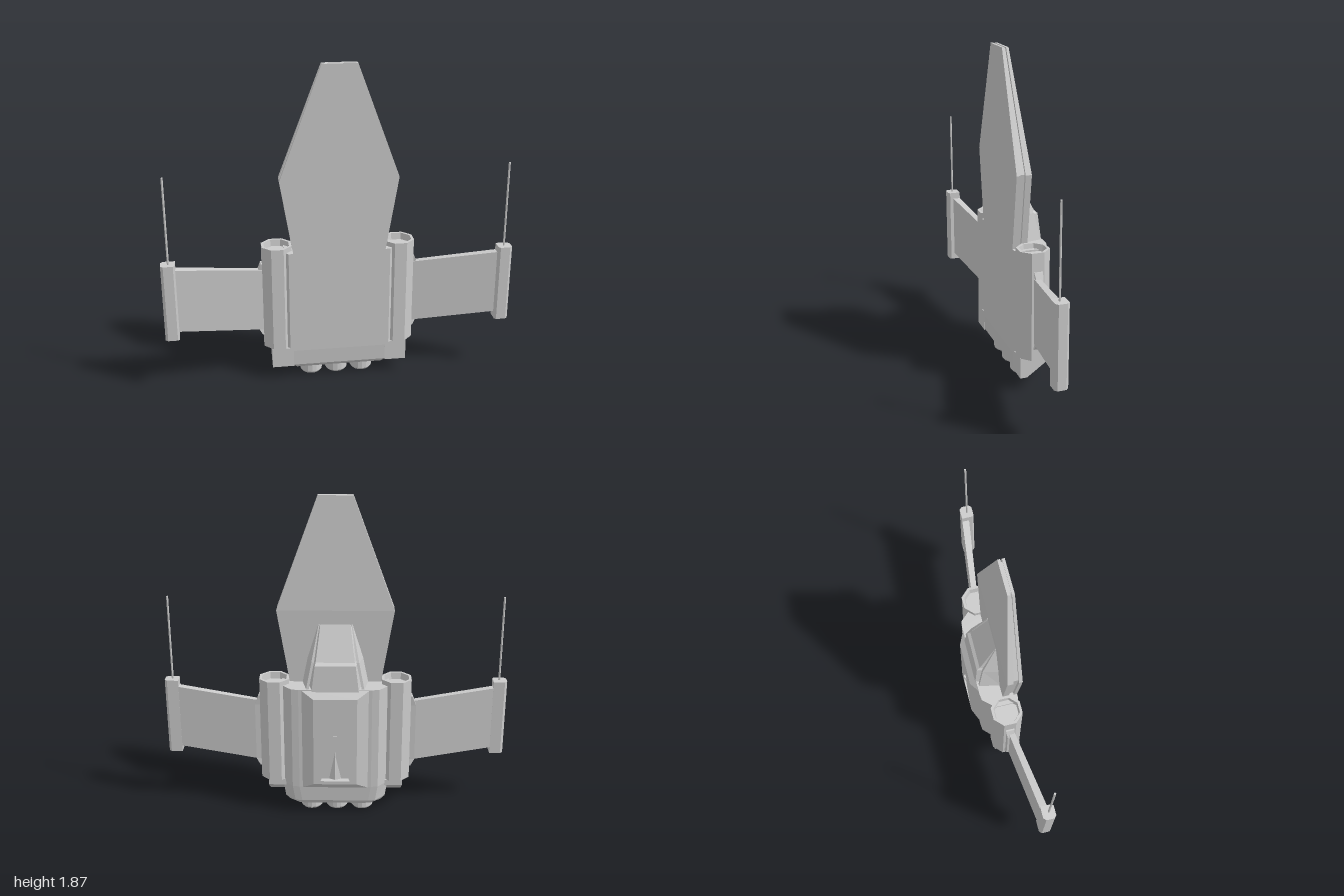
import * as THREE from 'three';

const mat = new THREE.MeshStandardMaterial({ color: 0xcccccc, flatShading: true, side: THREE.DoubleSide });

// Skin a list of equal-length rings of [x, y, z] points and cap both ends.
function loft(rings) {
  const n = rings[0].length, pos = rings.flat(2), idx = [];
  for (let r = 0; r < rings.length - 1; r++)
    for (let i = 0; i < n; i++) {
      const a = r * n + i, b = r * n + (i + 1) % n;
      idx.push(a, b, b + n, a, b + n, a + n);
    }
  const last = (rings.length - 1) * n;
  for (let i = 1; i < n - 1; i++) idx.push(0, i + 1, i, last, last + i, last + i + 1);
  // Turn the faces outward if the enclosed volume comes out negative
  const v = i => new THREE.Vector3().fromArray(pos, i * 3);
  let volume = 0;
  for (let i = 0; i < idx.length; i += 3) volume += v(idx[i]).dot(v(idx[i + 1]).cross(v(idx[i + 2])));
  if (volume < 0) idx.reverse();
  const g = new THREE.BufferGeometry();
  g.setAttribute('position', new THREE.Float32BufferAttribute(pos, 3));
  g.setIndex(idx);
  const flat = g.toNonIndexed();
  flat.computeVertexNormals();
  return flat;
}

// Mirror a half outline of [x, z] points across x = 0 at height y.
const symmetric = (y, half) => [
  ...half.map(([x, z]) => [x, y, z]),
  ...half.slice().reverse().map(([x, z]) => [-x, y, z]),
];
const rect = (y, x0, x1, z0, z1) => [[x0, y, z0], [x1, y, z0], [x1, y, z1], [x0, y, z1]];

export function createModel() {
  const model = new THREE.Group();
  const add = (parent, name, geometry, x = 0, y = 0, z = 0) => {
    const m = new THREE.Mesh(geometry, mat);
    m.name = name;
    m.position.set(x, y, z);
    parent.add(m);
    return m;
  };

  // Main hull, narrowing to the engine deck
  const hull = (y, w, front, back) => symmetric(y, [
    [w - 0.02, front], [w, front - 0.02], [w, -0.03], [w - 0.06, back], [w - 0.1, back - 0.005],
  ]);
  add(model, 'hull', loft([
    hull(0.06, 0.27, 0.085, -0.075), hull(0.085, 0.295, 0.105, -0.09),
    hull(0.18, 0.31, 0.11, -0.095), hull(0.8, 0.31, 0.11, -0.095),
  ]));

  // Raised dorsal panel with chamfered rim and a triangular recess
  const panel = new THREE.Shape([[-0.2, 0.17], [0.2, 0.17], [0.2, 0.8], [-0.2, 0.8]].map(p => new THREE.Vector2(...p)));
  panel.holes.push(new THREE.Path([[0, 0.44], [-0.085, 0.235], [0.085, 0.235]].map(p => new THREE.Vector2(...p))));
  const panelGeo = new THREE.ExtrudeGeometry(panel, { depth: 0.04, bevelEnabled: false });
  panelGeo.translate(0, 0, -0.135);
  const pp = panelGeo.attributes.position;
  for (let i = 0; i < pp.count; i++) {
    if (pp.getZ(i) > -0.12 || Math.abs(pp.getX(i)) < 0.15) continue;
    pp.setX(i, Math.sign(pp.getX(i)) * 0.125);
    pp.setY(i, pp.getY(i) > 0.5 ? 0.755 : 0.215);
  }
  panelGeo.computeVertexNormals();
  add(model, 'dorsalPanel', panelGeo);
  add(model, 'recessRidge', loft([
    [[-0.045, 0.235, -0.095], [0.045, 0.235, -0.095], [0, 0.235, -0.118]],
    [[-0.004, 0.41, -0.095], [0.004, 0.41, -0.095], [0, 0.41, -0.1]],
  ]));
  add(model, 'dorsalSensor', new THREE.BoxGeometry(0.022, 0.05, 0.015), 0, 0.505, -0.1375);

  // Nose: two plates with a recessed core between them
  const nosePlate = (inset, z0, z1, tip0, tip1) => loft([
    rect(0.75, -0.255 + inset, 0.255 - inset, z0, z1),
    rect(1.23, -0.333 + inset, 0.333 - inset, z0, z1),
    rect(1.87 - inset * 0.3, -0.097 + inset, 0.097 - inset, tip0, tip1),
  ]);
  add(model, 'noseBellyPlate', nosePlate(0, 0.09, 0.11, 0.096, 0.11));
  add(model, 'noseCore', nosePlate(0.015, 0.06, 0.09, 0.087, 0.096));
  add(model, 'noseBackPlate', nosePlate(0, 0.025, 0.06, 0.073, 0.087));

  // Canopy: sloping windscreen, flatter roof, flared side rails
  const canopy = (y, base, top, z) => [[-base, y, 0.04], [base, y, 0.04], [top, y, z], [-top, y, z]];
  add(model, 'cockpit', loft([
    canopy(0.78, 0.17, 0.135, -0.106), canopy(0.94, 0.145, 0.115, -0.09),
    canopy(0.955, 0.14, 0.11, -0.072), canopy(1.15, 0.095, 0.085, 0.026),
  ]));

  // Three engine nozzles with a recessed mouth
  const nozzle = [[0.064, 0.08], [0.065, 0.012], [0.056, 0], [0.048, 0], [0.044, 0.02], [0, 0.02]]
    .map(p => new THREE.Vector2(...p));
  for (const x of [-0.16, -0.01, 0.14]) add(model, 'engineNozzle', new THREE.LatheGeometry(nozzle, 16), x, 0, 0.015);

  // Octagonal pod profile with an open mouth at the top
  const podProfile = [[0, 0.2], [0.092, 0.2], [0.092, 0.828], [0.076, 0.828], [0.07, 0.79], [0, 0.79]]
    .map(p => new THREE.Vector2(...p));

  for (const s of [1, -1]) {
    const side = new THREE.Group();
    side.name = s > 0 ? 'leftSide' : 'rightSide';
    model.add(side);
    // Mirror a loft by its points so faces keep their outward order
    const part = (name, rings) => add(side, name, loft(rings.map(r => r.map(([x, y, z]) => [s * x, y, z]))));

    add(side, 'pod', new THREE.LatheGeometry(podProfile, 8, Math.PI / 8), s * 0.352, 0, 0.025);
    part('podFairing', [rect(0.2, 0.27, 0.31, -0.03, 0.09), rect(0.8, 0.27, 0.31, -0.03, 0.09)]);
    part('canopyRail', [
      [[0.16, 0.8, 0.03], [0.19, 0.8, 0.03], [0.165, 0.8, -0.09], [0.15, 0.8, -0.09]],
      [[0.13, 0.95, 0.03], [0.16, 0.95, 0.03], [0.135, 0.95, -0.06], [0.12, 0.95, -0.06]],
      [[0.09, 1.15, 0.03], [0.1, 1.15, 0.03], [0.095, 1.15, 0.022], [0.09, 1.15, 0.022]],
    ]);
    // Wedge bracket beside the engine deck
    part('sternBracket', [0.27, 0.395].map(x => [
      [x, 0.08, 0.11], [x, 0.2, 0.11], [x, 0.2, -0.05], [x, 0.165, -0.05], [x, 0.08, 0.07],
    ]));
    part('wingRoot', [
      rect(0.27, 0.42, 0.445, 0, 0.05), rect(0.31, 0.42, 0.468, 0.005, 0.04),
      rect(0.66, 0.42, 0.468, 0.005, 0.04), rect(0.72, 0.42, 0.445, 0, 0.05),
    ]);
    // Swept wing, angled toward the belly
    const rib = (x, y0, y1, z0, z1) => [[x, y0, z0], [x, y1, z0], [x, y1, z1], [x, y0, z1]];
    part('wing', [rib(0.42, 0.3, 0.68, 0.012, 0.045), rib(0.93, 0.36, 0.742, 0.072, 0.115)]);
    // Wingtip pod and antenna
    const tip = y => [
      [0.92, y, 0.07], [0.985, y, 0.07], [1, y, 0.085], [1, y, 0.132],
      [0.985, y, 0.145], [0.93, y, 0.145], [0.92, y, 0.135],
    ];
    part('wingtipPod', [tip(0.32), tip(0.78)]);
    add(side, 'antenna', new THREE.CylinderGeometry(0.006, 0.006, 0.51, 8), s * 0.957, 1.03, 0.11);
  }
  return model;
}
